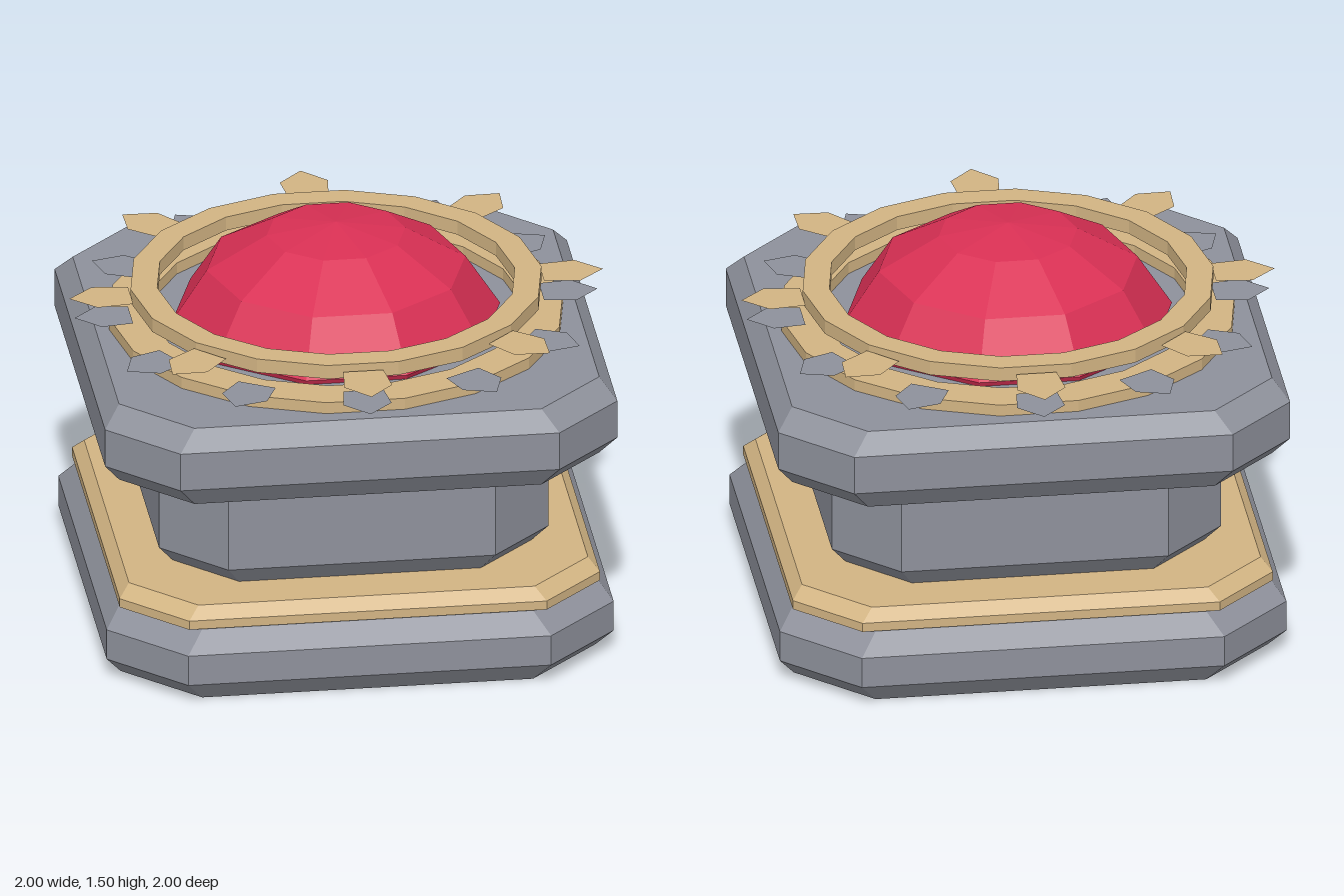
import * as THREE from 'three';

const mat = (name, color) => Object.assign(new THREE.MeshStandardMaterial({ color, flatShading: true }), { name });

// Skin a stack of closed loops (each a list of [x, y, z]) and cap both ends
function loft(loops) {
  const pos = [], n = loops[0].length;
  const tri = (a, b, c) => pos.push(...a, ...b, ...c);
  for (let k = 0; k < loops.length - 1; k++) {
    for (let i = 0; i < n; i++) {
      const j = (i + 1) % n, lo = loops[k], hi = loops[k + 1];
      tri(lo[i], hi[i], lo[j]);
      tri(lo[j], hi[i], hi[j]);
    }
  }
  const first = loops[0], last = loops[loops.length - 1];
  for (let i = 0; i < n; i++) {
    const j = (i + 1) % n;
    tri([0, last[0][1], 0], last[j], last[i]);
    tri([0, first[0][1], 0], first[i], first[j]);
  }
  const g = new THREE.BufferGeometry();
  g.setAttribute('position', new THREE.Float32BufferAttribute(pos, 3));
  g.computeVertexNormals();
  return g;
}

// Square with cut corners: half width h, straight edge ending at c
const cutSquare = ([h, c, y]) =>
  [[h, -c], [h, c], [c, h], [-c, h], [-h, c], [-h, -c], [-c, -h], [c, -h]].map(([x, z]) => [x, y, z]);

// Regular polygon loop
const polygon = (n, r, y, turn = 0) => Array.from({ length: n }, (_, i) => {
  const a = (i / n) * Math.PI * 2 + turn;
  return [r * Math.cos(a), y, r * Math.sin(a)];
});

// Flat faceted ring lying on y
function ring(outer, inner, n, y, height) {
  const outline = (r) => polygon(n, r, 0).map(([x, , z]) => new THREE.Vector2(x, z));
  const shape = new THREE.Shape(outline(outer));
  shape.holes.push(new THREE.Path(outline(inner)));
  const g = new THREE.ExtrudeGeometry(shape, { depth: height, bevelEnabled: false });
  return g.rotateX(-Math.PI / 2).translate(0, y, 0);
}

export function createModel() {
  const group = new THREE.Group();
  const stone = mat('grey stone', 0x8e919b);
  const gold = mat('gold', 0xd2b483);
  const ruby = mat('red gem', 0xd93054);
  const goldPlate = mat('gold plate', 0xd2b483);
  const stonePlate = mat('grey plate', 0x8e919b);
  goldPlate.side = stonePlate.side = THREE.DoubleSide;

  const add = (name, geometry, material, parent = group) => {
    const m = new THREE.Mesh(geometry, material);
    m.name = name;
    parent.add(m);
    return m;
  };

  // Pedestal tiers: [half width, corner start, y]
  const tiers = [
    ['baseSlab', stone, [[0.89, 0.62, 0], [0.95, 0.68, 0.08], [0.95, 0.68, 0.2], [0.89, 0.62, 0.28]]],
    ['goldBand', gold, [[0.85, 0.62, 0.27], [0.9, 0.67, 0.285], [0.9, 0.67, 0.32], [0.86, 0.63, 0.365]]],
    ['neck', stone, [[0.67, 0.45, 0.36], [0.73, 0.5, 0.44], [0.73, 0.5, 0.77], [0.7, 0.47, 0.81]]],
    ['topSlab', stone, [[0.9, 0.65, 0.8], [0.96, 0.71, 0.885], [0.96, 0.71, 1.035], [0.9, 0.65, 1.11]]],
  ];
  for (const [name, material, sections] of tiers) add(name, loft(sections.map(cutSquare)), material);

  // Rings around the gem
  add('lowerRing', ring(0.85, 0.7, 18, 1.11, 0.045), gold);
  add('upperRing', ring(0.77, 0.67, 18, 1.215, 0.055), gold);

  // Faceted gem dome
  const apex = polygon(10, 0.001, 1.5);
  add('gemDome', loft([
    polygon(10, 0.6, 1.1), polygon(10, 0.615, 1.13), polygon(10, 0.485, 1.33),
    polygon(10, 0.26, 1.46), apex,
  ]), ruby);

  // Pointed flat plates radiating from the rings
  const plate = (tip, shoulder, half) => {
    const pts = [[0.77, -0.075], [shoulder, -half], [tip, 0], [shoulder, half], [0.77, 0.075]];
    const shape = new THREE.Shape(pts.map(([x, y]) => new THREE.Vector2(x, y)));
    return new THREE.ShapeGeometry(shape).rotateX(-Math.PI / 2);
  };
  const crown = (name, count, y, geometry, material) => {
    const set = new THREE.Group();
    set.name = name + 's';
    for (let i = 0; i < count; i++) {
      const m = add(name, geometry, material, set);
      m.position.y = y;
      m.rotation.y = (i / count) * Math.PI * 2;
    }
    group.add(set);
  };
  crown('goldPoint', 8, 1.245, plate(1, 0.905, 0.09), goldPlate);
  crown('greyPoint', 12, 1.165, plate(0.98, 0.89, 0.09), stonePlate);

  return group;
}
